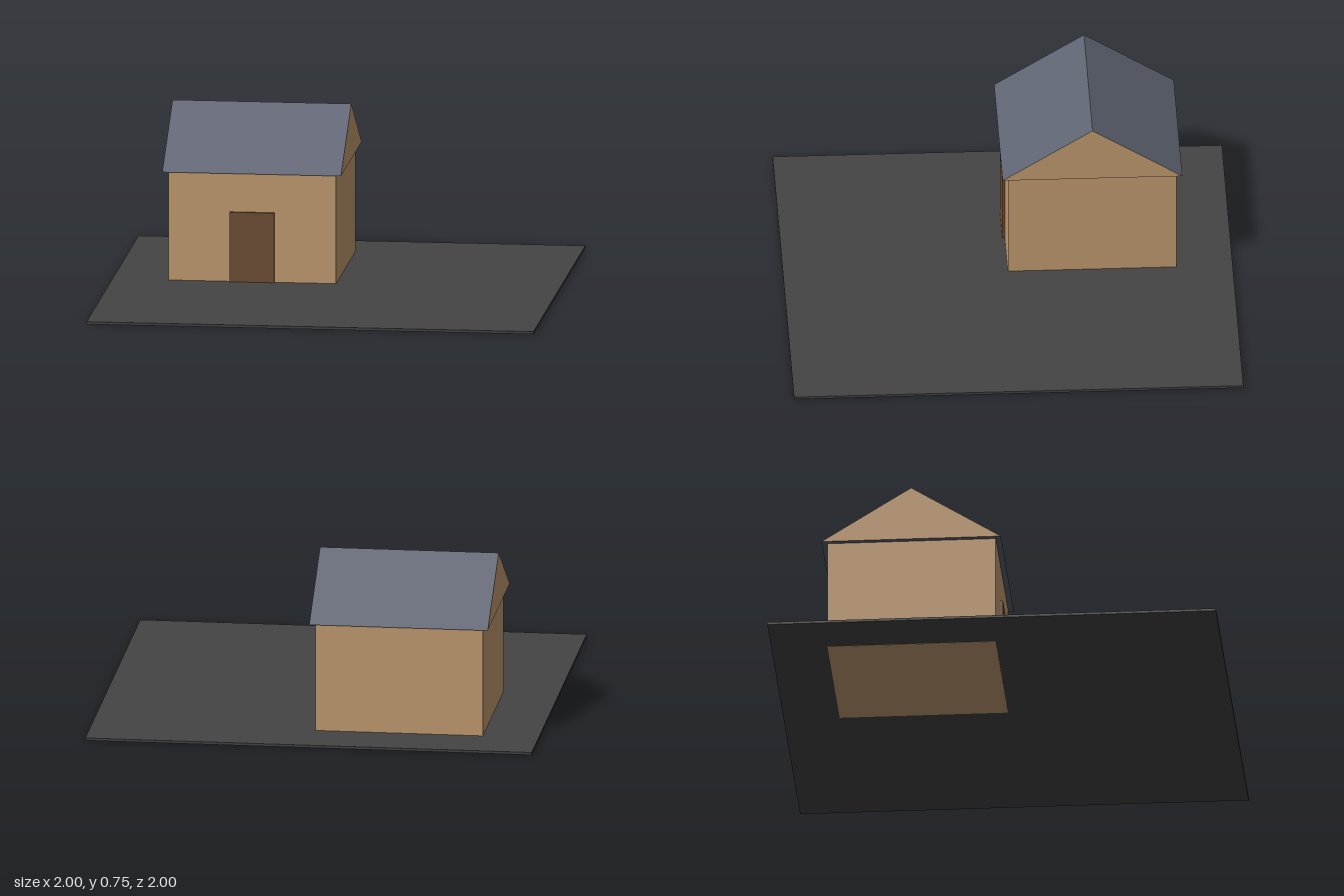
import * as THREE from 'three';

const material = (name, color) => {
  const m = new THREE.MeshStandardMaterial({ color });
  m.name = name;
  return m;
};

export function createModel() {
  const ground = material('charcoal ground', 0x444444);
  const wall = material('tan wall', 0xc79f73);
  const slate = material('slate roof', 0x5f6473);
  const wood = material('dark wood', 0x704f34);

  const model = new THREE.Group();
  model.name = 'cottage';

  // Box given by its lower and upper corners
  const box = (name, mat, [x0, y0, z0], [x1, y1, z1]) => {
    const mesh = new THREE.Mesh(new THREE.BoxGeometry(x1 - x0, y1 - y0, z1 - z0), mat);
    mesh.position.set((x0 + x1) / 2, (y0 + y1) / 2, (z0 + z1) / 2);
    mesh.name = name;
    model.add(mesh);
  };

  // Ground plate, a hair above the house floor so the floor shows underneath
  box('groundPlate', ground, [-1, 0.001, -1], [1, 0.0125, 1]);
  box('walls', wall, [-0.75, 0, -0.75], [0, 0.505, 0]);
  box('door', wood, [-0.475, 0.0125, -0.0125], [-0.275, 0.328, 0.0125]);

  // Gabled roof prism: tan gable ends, slate slopes and eave underside
  const gable = new THREE.Shape([
    new THREE.Vector2(-0.4, 0),
    new THREE.Vector2(0.4, 0),
    new THREE.Vector2(0, 0.25),
  ]);
  const roof = new THREE.Mesh(
    new THREE.ExtrudeGeometry(gable, { depth: 0.8, bevelEnabled: false }),
    [wall, slate],
  );
  roof.name = 'roof';
  roof.rotation.y = Math.PI / 2;
  roof.position.set(-0.775, 0.505, -0.375);
  model.add(roof);

  return model;
}
